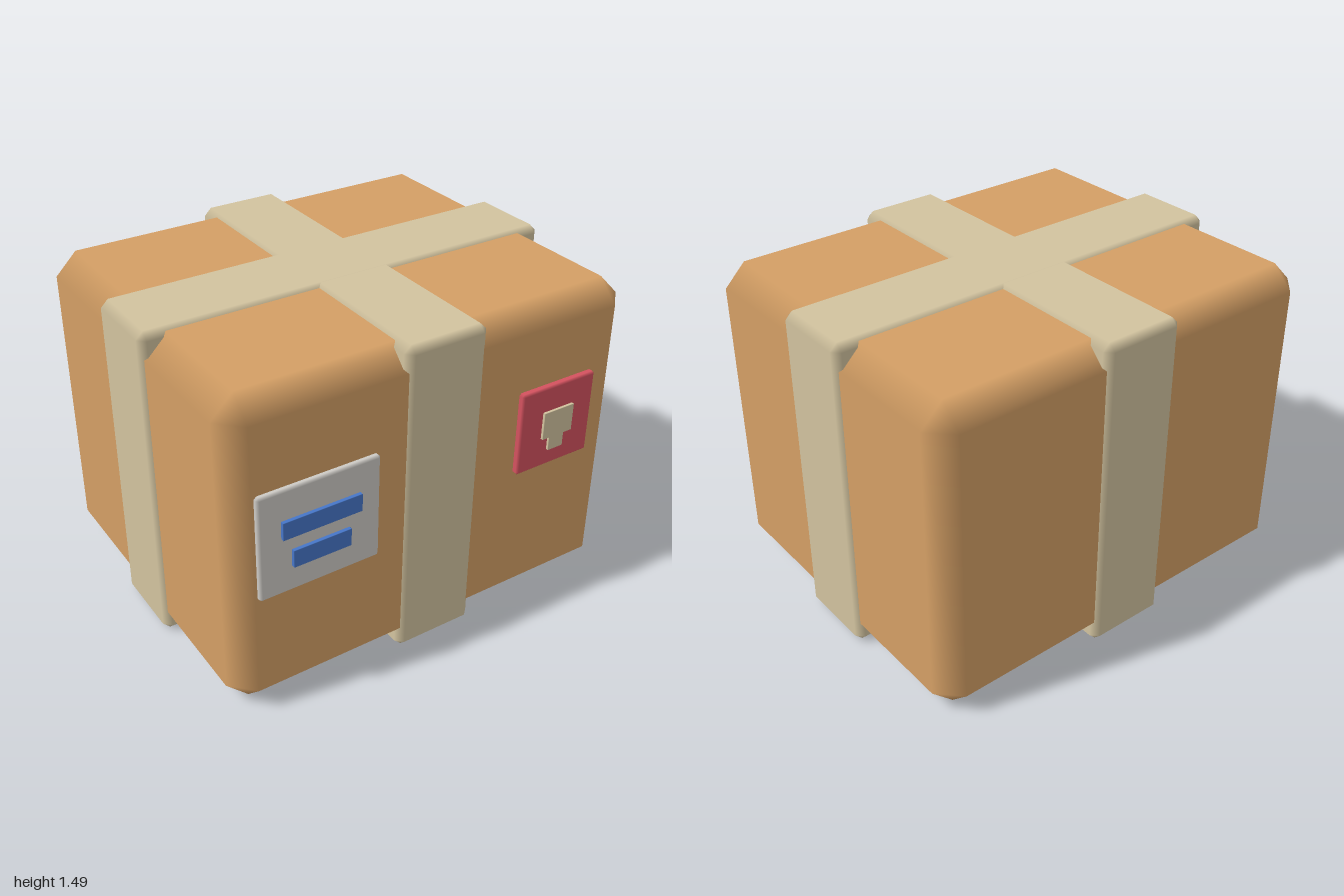
import * as THREE from 'three';

const mat = (name, color) => {
  const m = new THREE.MeshStandardMaterial({ color });
  m.name = name;
  return m;
};

// Box with single-step chamfers; face normals are kept on every vertex so the chamfers shade softly.
function chamferBox(min, max, r) {
  const pos = [], nor = [], idx = [];
  const id = (axis, s) => axis * 8 + (s[0] > 0 ? 1 : 0) + (s[1] > 0 ? 2 : 0) + (s[2] > 0 ? 4 : 0);
  for (let axis = 0; axis < 3; axis++) {
    for (let i = 0; i < 8; i++) {
      for (let k = 0; k < 3; k++) {
        const s = (i >> k) & 1 ? 1 : -1;
        pos.push((s > 0 ? max[k] : min[k]) - (k === axis ? 0 : s * r));
        nor.push(k === axis ? s : 0);
      }
    }
  }
  // Triangle wound to face the given outward direction
  const tri = (a, b, c, out) => {
    const [p, q, t] = [a, b, c].map((i) => new THREE.Vector3().fromArray(pos, i * 3));
    const n = q.sub(p).cross(t.sub(p));
    if (n.dot(out) > 0) idx.push(a, b, c);
    else idx.push(a, c, b);
  };
  const quad = (a, b, c, d, out) => { tri(a, b, c, out); tri(a, c, d, out); };
  const signs = (a, sa, b, sb, c, sc) => {
    const s = [0, 0, 0];
    s[a] = sa; s[b] = sb; s[c] = sc;
    return s;
  };
  for (let a = 0; a < 3; a++) {
    const b = (a + 1) % 3, c = (a + 2) % 3;
    for (const sa of [-1, 1]) {
      // Flat side
      const corner = (sb, sc) => id(a, signs(a, sa, b, sb, c, sc));
      quad(corner(-1, -1), corner(1, -1), corner(1, 1), corner(-1, 1),
        new THREE.Vector3(...signs(a, sa, b, 0, c, 0)));
      // Chamfers joining this side to the next
      for (const sb of [-1, 1]) {
        const lo = signs(a, sa, b, sb, c, -1), hi = signs(a, sa, b, sb, c, 1);
        quad(id(a, lo), id(b, lo), id(b, hi), id(a, hi),
          new THREE.Vector3(...signs(a, sa, b, sb, c, 0)));
      }
    }
  }
  // Corner triangles
  for (let i = 0; i < 8; i++) {
    const s = [0, 1, 2].map((k) => ((i >> k) & 1 ? 1 : -1));
    tri(id(0, s), id(1, s), id(2, s), new THREE.Vector3(...s));
  }
  const g = new THREE.BufferGeometry();
  g.setAttribute('position', new THREE.Float32BufferAttribute(pos, 3));
  g.setAttribute('normal', new THREE.Float32BufferAttribute(nor, 3));
  g.setIndex(idx);
  return g;
}

export function createModel() {
  const cardboard = mat('cardboard', 0xd49f65);
  const tape = mat('tape', 0xd2c39f);
  const paper = mat('label paper', 0xcdcac5);
  const blue = mat('blue ink', 0x4676c8);
  const red = mat('red sticker', 0xd4525f);

  const group = new THREE.Group();
  group.name = 'parcel';
  const add = (name, material, min, max, r) => {
    const mesh = new THREE.Mesh(chamferBox(min, max, r), material);
    mesh.name = name;
    group.add(mesh);
  };

  // Carton and the two tape bands crossing it
  add('carton', cardboard, [-0.98, 0.008, -0.83], [0.98, 1.475, 0.81], 0.1);
  add('lengthwiseTape', tape, [-0.197, 0, -0.85], [0.197, 1.49, 0.826], 0.033);
  add('crosswiseTape', tape, [-1, 0.002, -0.21], [1, 1.492, 0.185], 0.033);

  // Address label with two printed bars
  add('addressLabel', paper, [-0.87, 0.58, 0.79], [-0.315, 1.07, 0.832], 0.012);
  add('upperBar', blue, [-0.77, 0.85, 0.825], [-0.41, 0.932, 0.848], 0.002);
  add('lowerBar', blue, [-0.725, 0.703, 0.825], [-0.46, 0.785, 0.848], 0.002);

  // Handling sticker with a simple cup mark
  add('sticker', red, [0.39, 0.71, 0.79], [0.785, 1.105, 0.838], 0.01);
  add('cupBowl', tape, [0.508, 0.857, 0.83], [0.67, 0.988, 0.85], 0.002);
  add('cupStem', tape, [0.545, 0.792, 0.83], [0.627, 0.86, 0.849], 0.002);

  return group;
}
